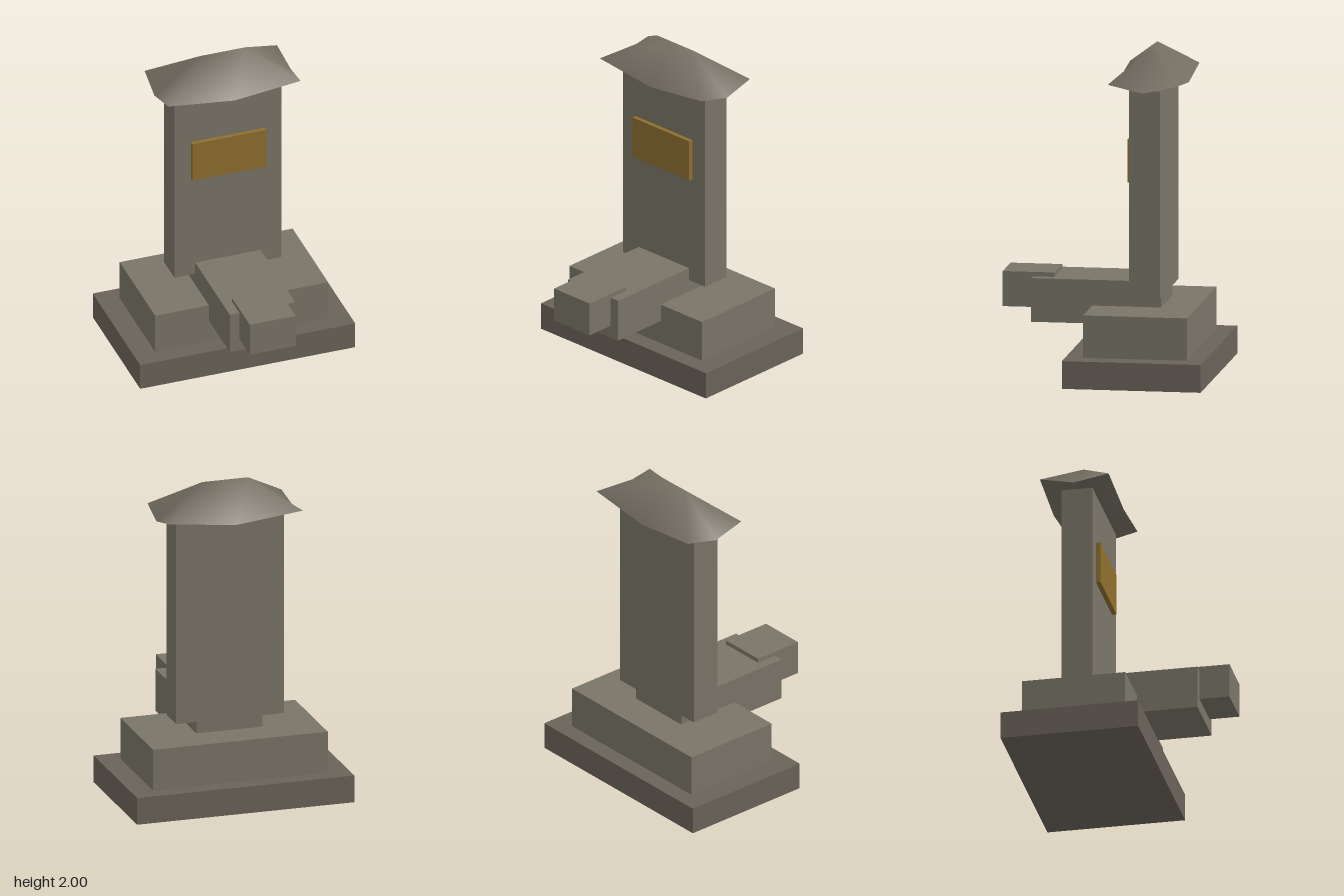
import * as THREE from 'three';

const stone = new THREE.MeshStandardMaterial({ color: 0x7a7568 });
const darkStone = new THREE.MeshStandardMaterial({ color: 0x6a6359 });
const bronze = new THREE.MeshStandardMaterial({ color: 0x8f6f2f });
const roofStone = new THREE.MeshStandardMaterial({ color: 0x746e62, side: THREE.DoubleSide });

// Box centred on x, given by half width and its y and z ranges
function block(name, halfWidth, [y0, y1], [z0, z1], material) {
  const mesh = new THREE.Mesh(new THREE.BoxGeometry(halfWidth * 2, y1 - y0, z1 - z0), material);
  mesh.name = name;
  mesh.position.set(0, (y0 + y1) / 2, (z0 + z1) / 2);
  return mesh;
}

// Hipped shell roof: a ridge of three points over eight eave points with raised corners
function roof() {
  const ridgeHalf = 0.145, top = 0.22, lift = 0.046;
  const cx = 0.425, cz = 0.212, mx = 0.438, mz = 0.216;
  const eaves = [
    [-cx, lift, cz], [0, 0, mz], [cx, lift, cz], [mx, 0, 0],
    [cx, lift, -cz], [0, 0, -mz], [-cx, lift, -cz], [-mx, 0, 0],
  ];
  const ridge = [-ridgeHalf, 0, ridgeHalf].map((x) => [x, top, 0]);
  const geometry = new THREE.BufferGeometry();
  geometry.setAttribute('position', new THREE.Float32BufferAttribute([...eaves, ...ridge].flat(), 3));
  geometry.setIndex([
    0, 1, 9, 0, 9, 8, 1, 2, 10, 1, 10, 9, // front slope
    2, 3, 10, 3, 4, 10, // left end
    4, 5, 9, 4, 9, 10, 5, 6, 8, 5, 8, 9, // back slope
    6, 7, 8, 7, 0, 8, // right end
  ]);
  geometry.computeVertexNormals();
  const mesh = new THREE.Mesh(geometry, roofStone);
  mesh.name = 'roof';
  mesh.position.set(0, 1.78, -0.25);
  return mesh;
}

export function createModel() {
  const group = new THREE.Group();
  group.name = 'stoneMonument';
  group.add(
    block('base', 0.69, [0, 0.17], [-0.65, 0.2], darkStone),
    block('upperStep', 0.555, [0.17, 0.43], [-0.545, 0.092], stone),
    block('plinth', 0.21, [0.32, 0.588], [-0.33, 0.465], stone),
    block('frontBlock', 0.148, [0.4, 0.615], [0.333, 0.65], stone),
    block('slab', 0.343, [0.508, 1.78], [-0.345, -0.155], stone),
    block('plaque', 0.237, [1.197, 1.46], [-0.165, -0.128], bronze),
    roof(),
  );
  return group;
}
